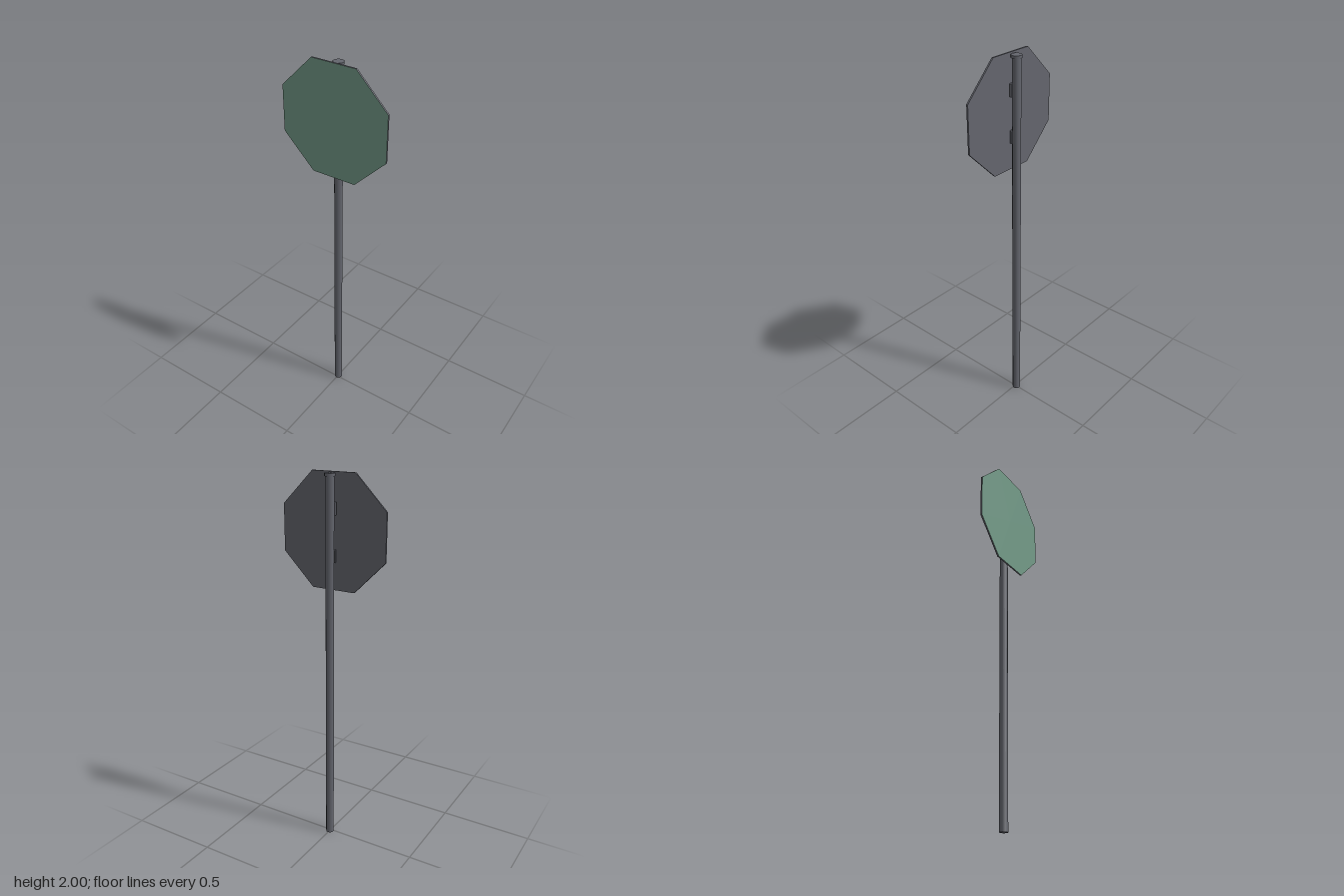
import * as THREE from 'three';

export function createModel() {
  const model = new THREE.Group();
  model.name = 'octagonalRoadSign';

  const metal = new THREE.MeshStandardMaterial({ color: 0x64666e });
  metal.name = 'grey metal';
  const green = new THREE.MeshStandardMaterial({ color: 0x729a87 });
  green.name = 'muted green';

  const add = (name, geometry, material, x, y, z) => {
    const mesh = new THREE.Mesh(geometry, material);
    mesh.name = name;
    mesh.position.set(x, y, z);
    model.add(mesh);
    return mesh;
  };

  // Post with a slightly wider cap, standing just behind the plate
  const postZ = -0.0095;
  add('post', new THREE.CylinderGeometry(0.022, 0.022, 1.985, 10), metal, 0, 0.9925, postZ);
  add('postCap', new THREE.CylinderGeometry(0.027, 0.027, 0.014, 10), metal, 0, 1.988, postZ);

  // Octagonal plate: metal rim and back, green face
  const apothem = 0.29;
  const radius = apothem / Math.cos(Math.PI / 8);
  const plate = new THREE.CylinderGeometry(radius, radius, 0.009, 8)
    .rotateY(Math.PI / 8)
    .rotateX(Math.PI / 2)
    .toNonIndexed();
  plate.computeVertexNormals();
  add('signPlate', plate, [metal, green, metal], 0, 2 - apothem, 0.0285);

  // Two clamp brackets with chamfered front corners
  const w = 0.023, d = 0.018, c = 0.005, h = 0.062;
  const profile = new THREE.Shape([
    [-w, 0], [w, 0], [w, d - c], [w - c, d], [c - w, d], [-w, d - c],
  ].map(([x, z]) => new THREE.Vector2(x, -z)).reverse());
  const bracket = new THREE.ExtrudeGeometry(profile, { depth: h, bevelEnabled: false })
    .translate(0, 0, -h / 2)
    .rotateX(-Math.PI / 2);
  for (const [name, y] of [['upperBracket', 1.828], ['lowerBracket', 1.597]]) {
    add(name, bracket, metal, 0, y, 0);
  }

  return model;
}
